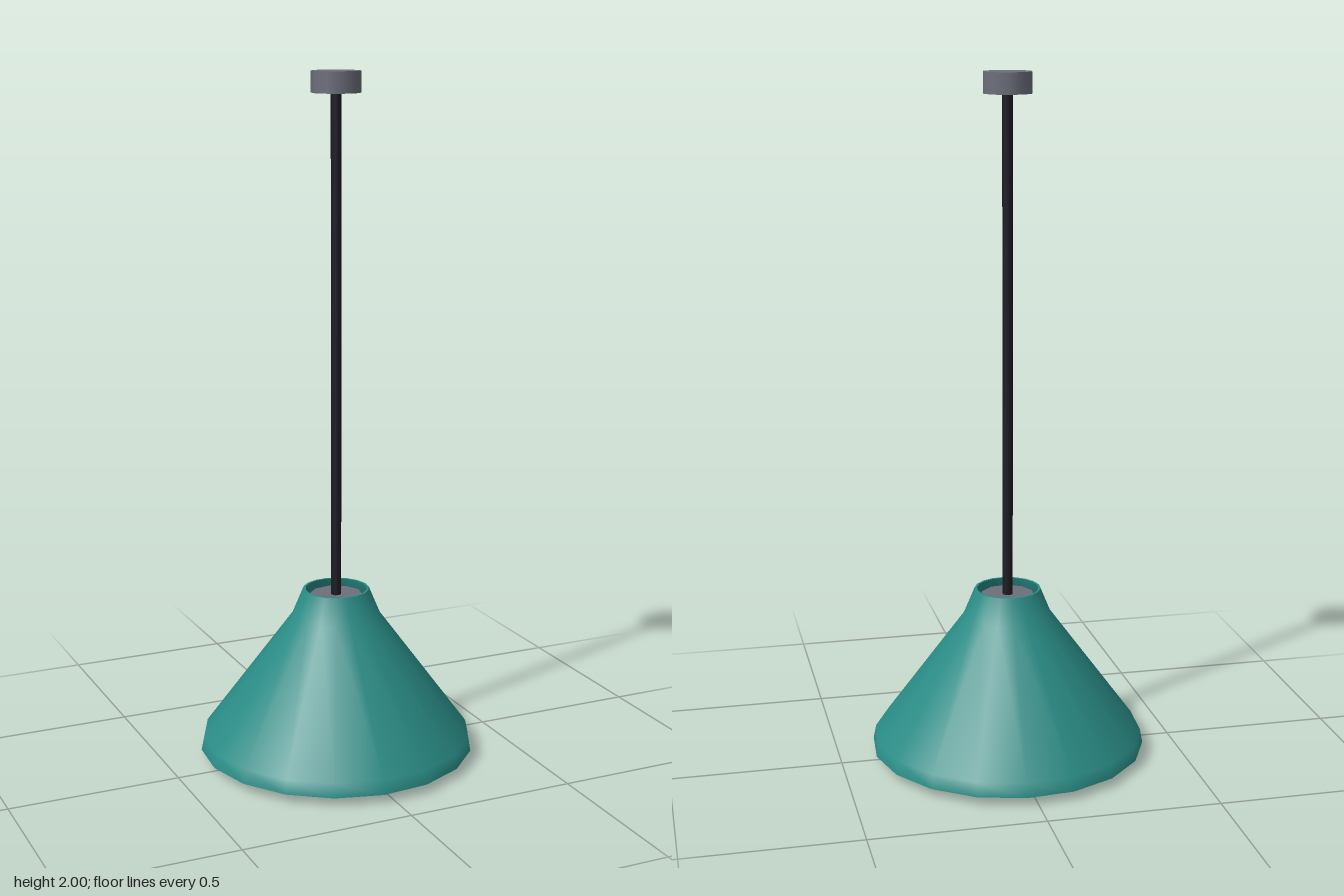
import * as THREE from 'three';

const material = (name, color, side = THREE.FrontSide) => {
  const m = new THREE.MeshStandardMaterial({ color, side });
  m.name = name;
  return m;
};

export function createModel() {
  const teal = material('teal enamel', 0x2a8c86);
  const grey = material('grey metal', 0x6c6f7a);
  const black = material('black rod', 0x1b1b23);
  const cream = material('cream glass', 0xe6cc98);

  const lamp = new THREE.Group();
  lamp.name = 'pendantLamp';

  const add = (name, geometry, mat, y = 0, parent = lamp) => {
    const mesh = new THREE.Mesh(geometry, mat);
    mesh.name = name;
    mesh.position.y = y;
    parent.add(mesh);
    return mesh;
  };

  // Ten-sided drum between two heights
  const drum = (name, radius, bottom, top) => {
    const g = new THREE.CylinderGeometry(radius, radius, top - bottom, 10);
    g.rotateY(THREE.MathUtils.degToRad(27));
    add(name, g, grey, (bottom + top) / 2);
  };

  // Ceiling mount, rod and bulb holder
  drum('ceilingMount', 0.07, 1.94, 2);
  add('rod', new THREE.CylinderGeometry(0.015, 0.015, 1.46, 10), black, 1.22);
  drum('bulbHolder', 0.078, 0.2, 0.492);

  // Bulb hanging just below the rim
  add('bulb', new THREE.SphereGeometry(0.109, 20, 14), cream, 0.113);

  // Eighteen-sided shade: each stretch is its own lathe, so the rims stay sharp
  const shade = new THREE.Group();
  shade.name = 'shade';
  lamp.add(shade);
  const outer = [[0.403, 0.03], [0.395, 0.07], [0.13, 0.43], [0.097, 0.51]];
  const inner = [[0.09, 0.51], [0.115, 0.43], [0.376, 0.068], [0.384, 0.03]];
  const stretches = {
    shadeOutside: outer,
    shadeTopRim: [outer[3], inner[0]],
    shadeInside: inner,
    shadeBottomRim: [inner[3], outer[0]],
  };
  for (const [name, profile] of Object.entries(stretches)) {
    const points = profile.map(([r, y]) => new THREE.Vector2(r, y));
    const g = new THREE.LatheGeometry(points, 18, THREE.MathUtils.degToRad(15));
    add(name, g, teal, 0, shade);
  }

  return lamp;
}
